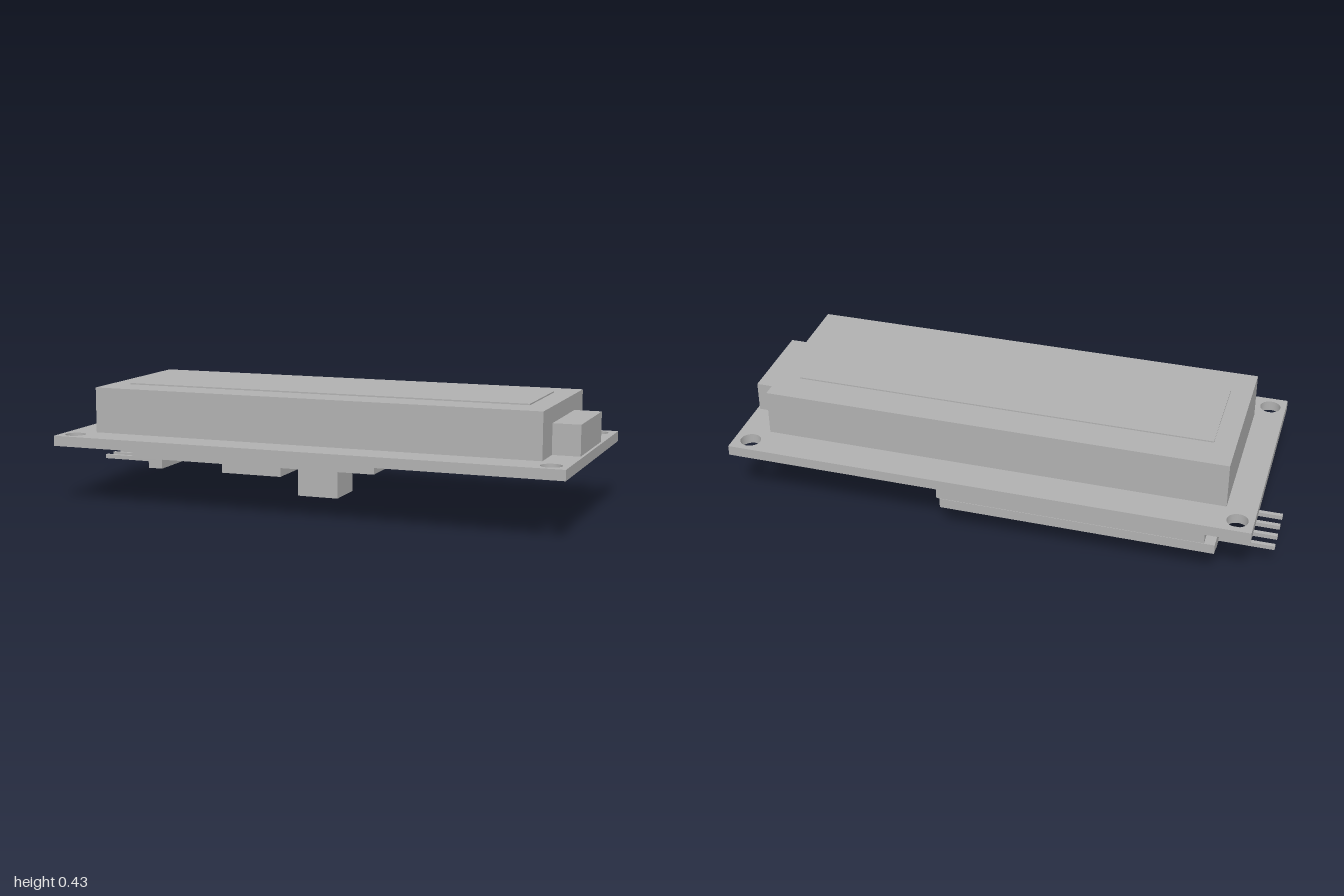
import * as THREE from 'three';

const grey = new THREE.MeshStandardMaterial({ color: 0xb0b0b0 });
grey.name = 'plain grey';

// Box given by its limits on each axis
function block(name, [x0, x1], [y0, y1], [z0, z1]) {
  const mesh = new THREE.Mesh(new THREE.BoxGeometry(x1 - x0, y1 - y0, z1 - z0), grey);
  mesh.position.set((x0 + x1) / 2, (y0 + y1) / 2, (z0 + z1) / 2);
  mesh.name = name;
  return mesh;
}

// Main circuit board with a mounting hole in each corner
function mainBoard() {
  const shape = new THREE.Shape([
    new THREE.Vector2(-0.93, -0.434), new THREE.Vector2(1, -0.434),
    new THREE.Vector2(1, 0.434), new THREE.Vector2(-0.93, 0.434),
  ]);
  for (const x of [-0.872, 0.937]) {
    for (const z of [-0.374, 0.374]) {
      shape.holes.push(new THREE.Path().absarc(x, z, 0.038, 0, Math.PI * 2, true));
    }
  }
  const geometry = new THREE.ExtrudeGeometry(shape, { depth: 0.038, bevelEnabled: false, curveSegments: 32 });
  geometry.rotateX(-Math.PI / 2);
  const mesh = new THREE.Mesh(geometry, grey);
  mesh.position.y = 0.217;
  mesh.name = 'mainBoard';
  return mesh;
}

export function createModel() {
  const model = new THREE.Group();
  model.name = 'displayModule';

  // Display side
  model.add(
    mainBoard(),
    block('displayFrame', [-0.822, 0.889], [0.255, 0.425], [-0.304, 0.304]),
    block('displayWindow', [-0.743, 0.81], [0.425, 0.43], [-0.176, 0.176]),
    block('backlightHousing', [0.889, 0.99], [0.255, 0.366], [-0.169, 0.169]),
  );

  // Interface board hung below on a header strip
  model.add(
    block('headerStrip', [-0.767, 0.21], [0.156, 0.217], [-0.403, -0.344]),
    block('interfaceBoard', [-0.805, 0.197], [0.119, 0.156], [-0.405, 0.059]),
    block('contrastTrimmer', [-0.14, 0.021], [0, 0.119], [-0.19, -0.026]),
    block('controllerChip', [-0.47, -0.223], [0.063, 0.119], [-0.222, -0.048]),
    block('pinHousing', [-0.797, -0.738], [0.059, 0.119], [-0.296, -0.06]),
  );

  // Four connector pins pointing sideways
  for (let i = 0; i < 4; i++) {
    const z = -0.27 + i * 0.0615;
    model.add(block('connectorPin', [-1, -0.797], [0.082, 0.098], [z - 0.008, z + 0.008]));
  }
  return model;
}
